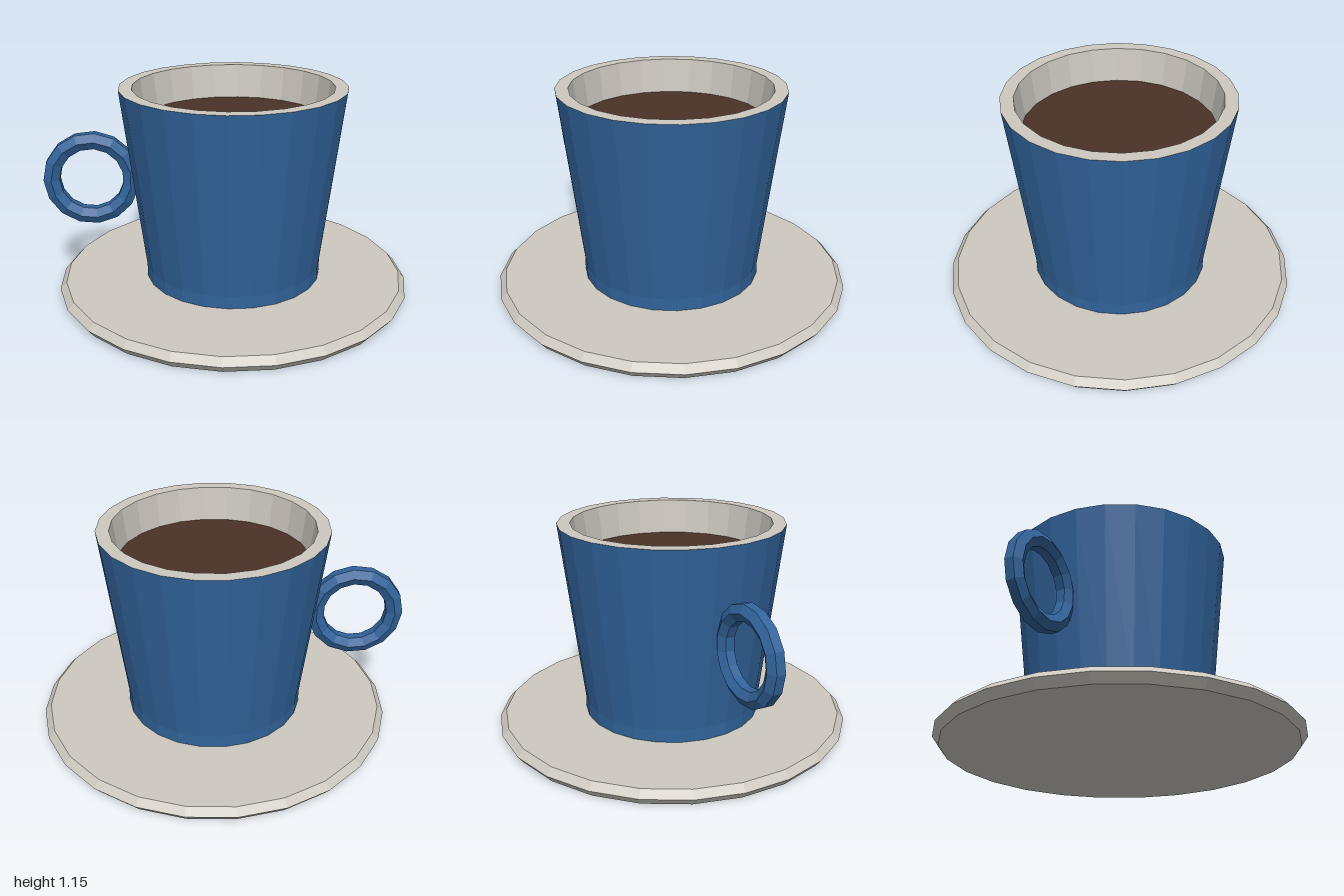
import * as THREE from 'three';

const SIDES = 24;
const CENTRE_X = 0.03;

const flat = (name, color) => {
  const m = new THREE.MeshStandardMaterial({ color, flatShading: true });
  m.name = name;
  return m;
};

// Faceted turned part from [radius, height] pairs, with a flat facing the front
function turned(name, profile, material) {
  const points = profile.map(([r, y]) => new THREE.Vector2(r, y));
  const mesh = new THREE.Mesh(new THREE.LatheGeometry(points, SIDES, Math.PI / SIDES), material);
  mesh.name = name;
  mesh.position.x = CENTRE_X;
  return mesh;
}

// Ring with a six-sided section whose corners point to the front and back
function ring(radius, tube, segments) {
  const geo = new THREE.TorusGeometry(radius, tube, 6, segments);
  const pos = geo.attributes.position;
  for (let j = 0; j <= 6; j++) {
    const v = (j / 6) * Math.PI * 2 + Math.PI / 6;
    for (let i = 0; i <= segments; i++) {
      const u = (i / segments) * Math.PI * 2;
      const r = radius + tube * Math.cos(v);
      pos.setXYZ(j * (segments + 1) + i, r * Math.cos(u), r * Math.sin(u), tube * Math.sin(v));
    }
  }
  geo.computeVertexNormals();
  return geo;
}

export function createModel() {
  const blue = flat('blue glaze', 0x31639a);
  const cream = flat('pale grey glaze', 0xcdc9c0);
  const brown = flat('coffee brown', 0x4a3227);

  const group = new THREE.Group();
  group.name = 'cupAndSaucer';

  // Saucer with a bevelled edge
  group.add(turned('saucer',
    [[0, 0], [0.943, 0], [0.978, 0.045], [0.943, 0.082], [0, 0.082]], cream));

  // Cup wall with a short straight foot
  group.add(turned('cupWall', [[0.491, 0.08], [0.491, 0.15], [0.61, 1.15]], blue));

  // Rim and inside wall, down to just under the coffee
  group.add(turned('cupLining', [[0.61, 1.15], [0.54, 1.15], [0.515, 0.94]], cream));

  // Coffee surface
  group.add(turned('coffee', [[0.517, 0.96], [0, 0.96]], brown));

  // Ring handle on the right
  const handle = new THREE.Mesh(ring(0.215, 0.05, 15), blue);
  handle.name = 'handle';
  handle.position.set(-0.742, 0.65, 0);
  handle.rotation.z = Math.PI;
  group.add(handle);

  return group;
}
